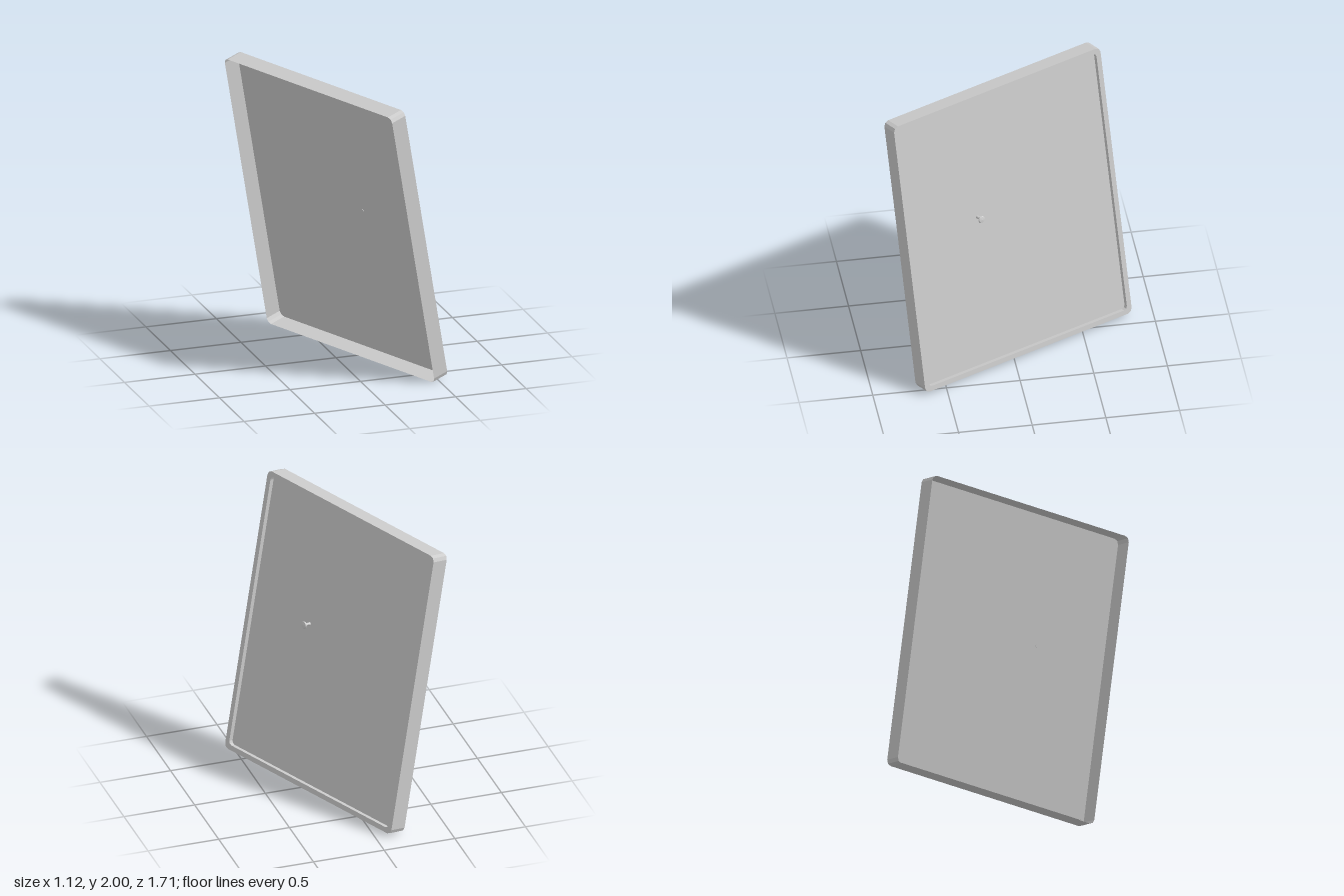
import * as THREE from 'three';

const W = 1.648, H = 2.016, T = 0.122; // width, height and depth of the door leaf
const RIM = 0.035, STEP = 0.03;        // front border and depth of the sunk panel

const material = new THREE.MeshStandardMaterial({
  color: 0xcccccc, side: THREE.DoubleSide, flatShading: true,
});

// Outline of a rectangle with softened corners, counter-clockwise
function outline(inset, radius, segments = 2) {
  const x = W / 2 - inset - radius, y = H / 2 - inset - radius;
  const points = [];
  [[1, 1], [-1, 1], [-1, -1], [1, -1]].forEach(([sx, sy], corner) => {
    for (let i = 0; i <= segments; i++) {
      const a = (corner + i / segments) * Math.PI / 2;
      points.push(new THREE.Vector2(sx * x + radius * Math.cos(a), sy * y + radius * Math.sin(a)));
    }
  });
  return points;
}

// Skin between two outlines at two depths
function band(a, za, b, zb) {
  const positions = [], index = [], n = a.length;
  for (let i = 0; i < n; i++) {
    positions.push(a[i].x, a[i].y, za, b[i].x, b[i].y, zb);
    const p = 2 * i, q = 2 * ((i + 1) % n);
    index.push(p, q, q + 1, p, q + 1, p + 1);
  }
  const g = new THREE.BufferGeometry();
  g.setAttribute('position', new THREE.Float32BufferAttribute(positions, 3));
  g.setIndex(index);
  g.computeVertexNormals();
  return g;
}

export function createModel() {
  const model = new THREE.Group();
  model.name = 'tiltedDoor';
  const door = new THREE.Group();
  door.name = 'door';
  model.add(door);

  const add = (name, geometry, mat = material) => {
    const mesh = new THREE.Mesh(geometry, mat);
    mesh.name = name;
    door.add(mesh);
    return mesh;
  };

  // Thin shell, open at the back
  const outer = outline(0, 0.035), inner = outline(RIM, 0.025);
  const front = T / 2, sunk = T / 2 - STEP;
  add('sideWalls', band(outer, -T / 2, outer, front));
  add('frontRim', band(outer, front, inner, front));
  add('panelStep', band(inner, front, inner, sunk));
  add('panel', new THREE.ShapeGeometry(new THREE.Shape(inner))).position.z = sunk;

  // Knob: slim stem with a broad round head
  const profile = [[0, -0.004], [0.011, -0.004], [0.008, 0.042], [0.023, 0.048],
    [0.025, 0.053], [0.021, 0.059], [0, 0.062]].map(([r, y]) => new THREE.Vector2(r, y));
  const knobMaterial = new THREE.MeshStandardMaterial({ color: 0xcccccc, flatShading: true });
  const knob = add('knob', new THREE.LatheGeometry(profile, 16), knobMaterial);
  knob.rotation.x = Math.PI / 2;
  knob.position.set(-0.25, 0.106, sunk);

  // Tilt of the whole door: its width stays level, its front leans upward
  const across = new THREE.Vector3(-0.401, 0, -0.916).normalize();
  const up = new THREE.Vector3(-0.18, 0.98, 0.079).normalize();
  const normal = new THREE.Vector3().crossVectors(across, up).normalize();
  up.crossVectors(normal, across);
  door.quaternion.setFromRotationMatrix(new THREE.Matrix4().makeBasis(across, up, normal));
  door.position.y = 1;
  return model;
}
